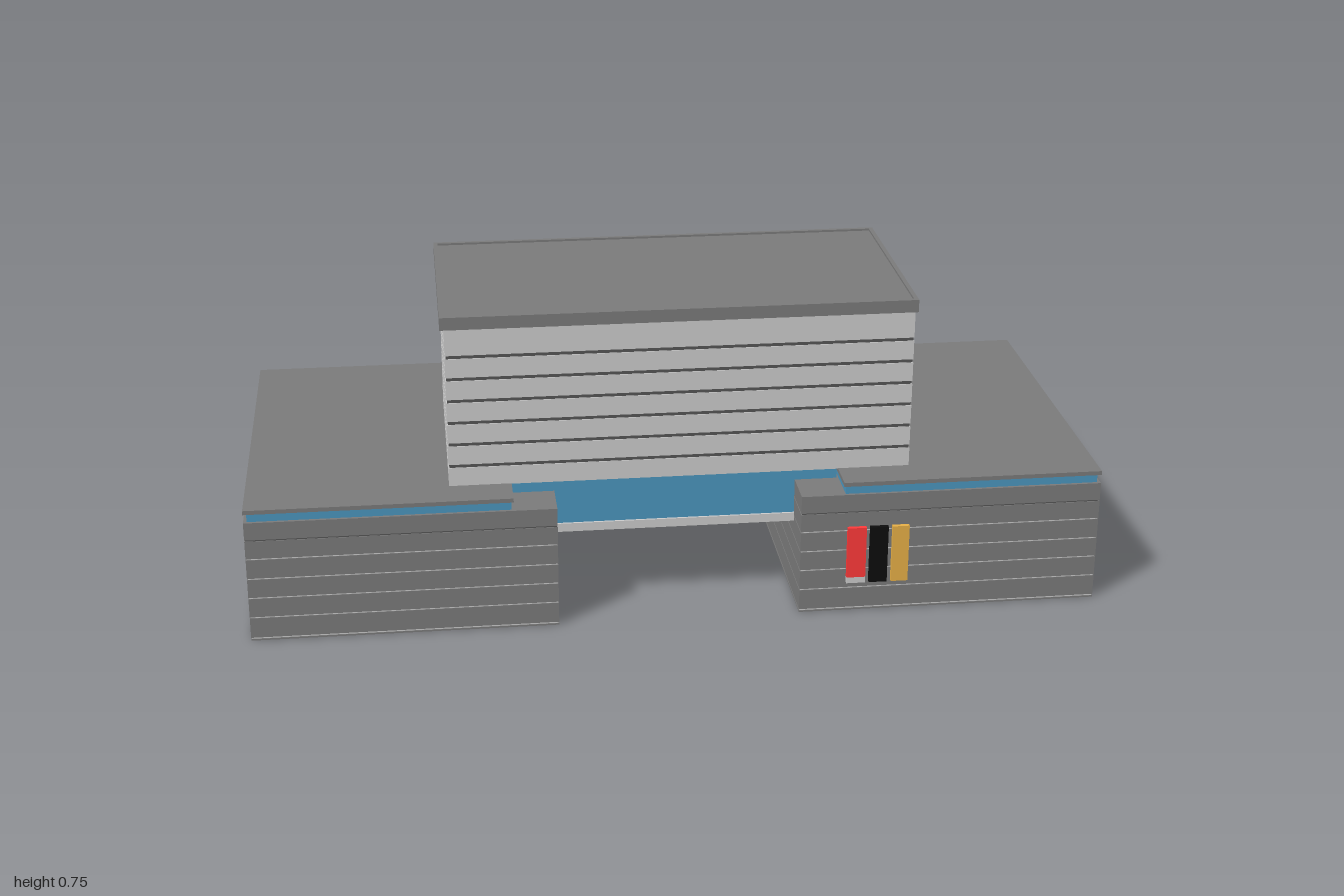
import * as THREE from 'three';

const mat = (color, side = THREE.FrontSide) => new THREE.MeshStandardMaterial({ color, side });

export function createModel() {
  const model = new THREE.Group();
  const light = mat(0xcccccc);
  const dark = mat(0x7a7a7a);
  const seam = mat(0x555555);
  const glass = mat(0x4b95bd);

  // Box given by its limits on each axis
  function box(name, material, [x0, x1], [y0, y1], [z0, z1], parent = model) {
    const mesh = new THREE.Mesh(new THREE.BoxGeometry(x1 - x0, y1 - y0, z1 - z0), material);
    mesh.position.set((x0 + x1) / 2, (y0 + y1) / 2, (z0 + z1) / 2);
    mesh.name = name;
    parent.add(mesh);
    return mesh;
  }

  // Two side wings: cladding courses with thin joints, glazed strip and roof
  for (const s of [-1, 1]) {
    const wing = new THREE.Group();
    wing.name = s > 0 ? 'leftWing' : 'rightWing';
    model.add(wing);
    const span = (a, b) => (s > 0 ? [a, b] : [-b, -a]);
    const z = [-0.2, 0.67];
    box('wingJoints', light, span(0.287, 0.998), [0.002, 0.25], [-0.198, 0.668], wing);
    box('wingBase', dark, span(0.285, 1), [0, 0.004], z, wing);
    const joints = [0.006, 0.059, 0.109, 0.158, 0.208, 0.255];
    for (let i = 0; i < 5; i++) {
      box('claddingCourse', dark, span(0.285, 1), [joints[i] + 0.0015, joints[i + 1] - 0.0015], z, wing);
    }
    box('topJoint', seam, span(0.287, 0.998), [0.25, 0.26], [-0.198, 0.668], wing);
    box('parapetCourse', dark, span(0.285, 1), [0.257, 0.3], z, wing);
    box('clerestoryGlass', glass, span(0.39, 0.992), [0.3, 0.321], [-0.192, 0.663], wing);
    box('wingRoof', dark, span(0.385, 1), [0.321, 0.331], z, wing);
  }

  // Bridge over the open passage between the wings
  box('bridgeFloor', light, [-0.285, 0.285], [0.195, 0.216], [-0.2, 0.575]);
  box('bridgeRoof', dark, [-0.285, 0.285], [0.216, 0.275], [-0.2, 0.075]);
  box('bridgeGlassLower', glass, [-0.285, 0.285], [0.216, 0.3], [0.075, 0.57]);
  box('bridgeGlassUpper', glass, [-0.385, 0.385], [0.3, 0.33], [0.075, 0.57]);
  box('towerBackFoot', light, [-0.285, 0.285], [0.275, 0.33], [0.065, 0.075]);
  box('towerBackFootUpper', light, [-0.385, 0.385], [0.3, 0.33], [0.065, 0.075]);

  // Rear hall
  box('rearHall', dark, [-0.44, 0.465], [0.01, 0.275], [-0.68, -0.2]);

  // Tower: light storeys separated by dark seams
  const tower = new THREE.Group();
  tower.name = 'tower';
  model.add(tower);
  const tx = [-0.53, 0.555], tz = [0.065, 0.585];
  box('towerSeams', seam, [-0.528, 0.553], [0.331, 0.72], [0.067, 0.583], tower);
  const seams = [0.326, 0.38, 0.434, 0.488, 0.542, 0.596, 0.65, 0.724];
  for (let i = 0; i < 7; i++) {
    box('storey', light, tx, [seams[i] + 0.004, seams[i + 1] - 0.004], tz, tower);
  }

  // Tower roof slab with a low rim
  box('towerRoof', dark, [-0.54, 0.56], [0.72, 0.745], [0.055, 0.595], tower);
  for (const x of [-0.54, 0.55]) box('roofRim', dark, [x, x + 0.01], [0.745, 0.75], [0.055, 0.595], tower);
  for (const z of [0.055, 0.585]) box('roofRim', dark, [-0.53, 0.55], [0.745, 0.75], [z, z + 0.01], tower);

  // Three hanging banners on the front
  const bz = [0.67, 0.68];
  box('redBanner', mat(0xff3a3a), [0.395, 0.44], [0.09, 0.218], bz);
  box('redBannerHem', light, [0.395, 0.44], [0.075, 0.09], bz);
  box('blackBanner', mat(0x0c0c0c), [0.449, 0.492], [0.075, 0.218], bz);
  box('yellowBanner', mat(0xe7b047), [0.502, 0.542], [0.075, 0.218], bz);

  return model;
}
